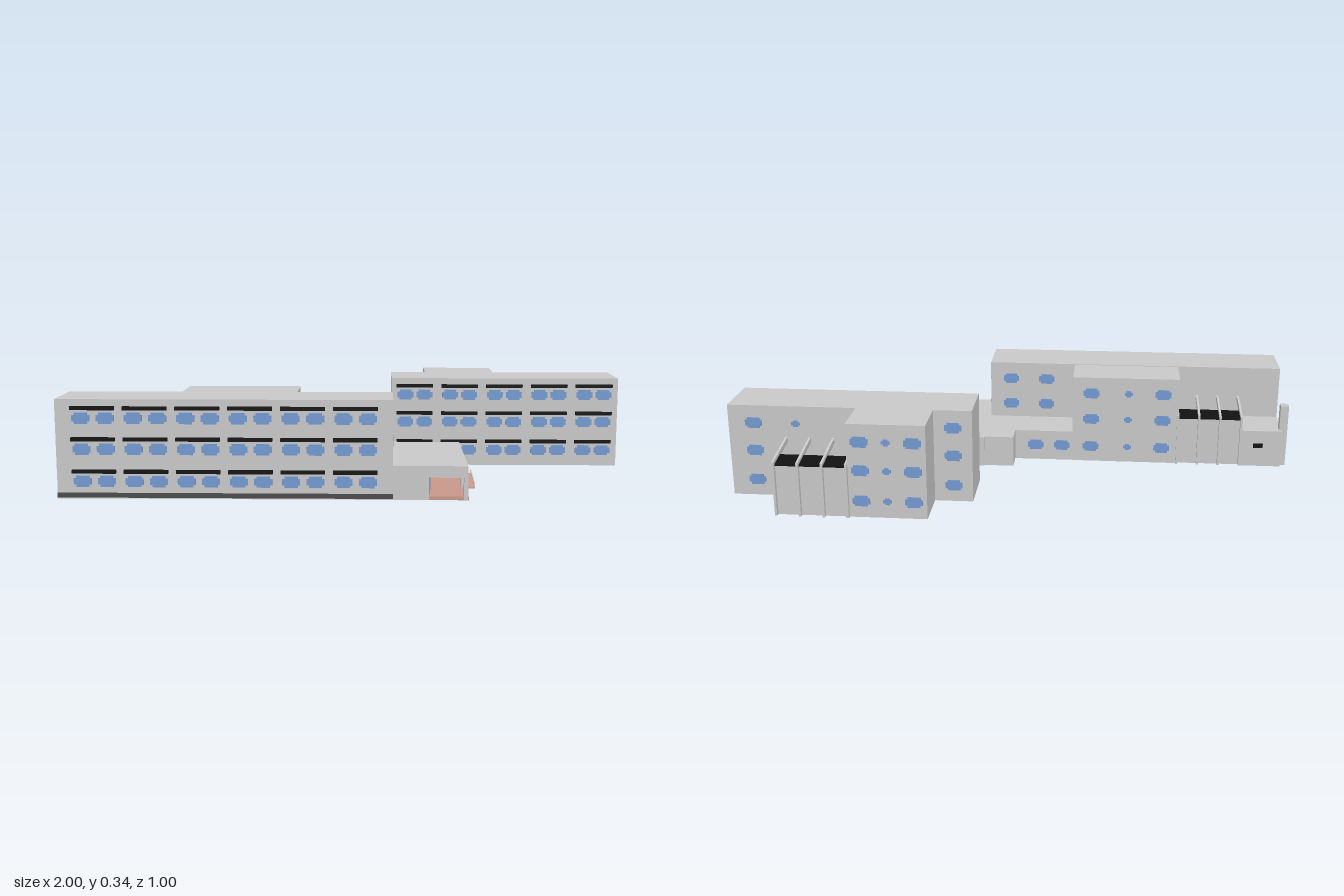
import * as THREE from 'three';

const flat = (name, color) => {
  const m = new THREE.MeshStandardMaterial({ color });
  m.name = name;
  return m;
};
const wall = flat('wall grey', 0xc8c8c8);
const glass = flat('window blue', 0x7399d0);
const black = flat('shade black', 0x111111);
const brick = flat('floor terracotta', 0xc8988a);
const dark = flat('plinth grey', 0x4a4a4a);

const FLOORS = [0.06, 0.17, 0.272];

export function createModel() {
  const model = new THREE.Group();
  model.name = 'schoolBuildings';

  const add = (parent, name, geo, mat) => {
    const mesh = new THREE.Mesh(geo, mat);
    mesh.name = name;
    parent.add(mesh);
    return mesh;
  };
  // box given by its limits on each axis
  const block = (parent, name, x0, x1, y0, y1, z0, z1, mat = wall) => {
    const mesh = add(parent, name, new THREE.BoxGeometry(x1 - x0, y1 - y0, z1 - z0), mat);
    mesh.position.set((x0 + x1) / 2, (y0 + y1) / 2, (z0 + z1) / 2);
    return mesh;
  };
  const outline = (pts) => new THREE.Shape(pts.map(([a, b]) => new THREE.Vector2(a, b)));
  // profile of (distance towards the back, height), extruded along x
  const backProfile = (parent, name, shape, x, width, z, mat = wall) => {
    const geo = new THREE.ExtrudeGeometry(shape, { depth: width, bevelEnabled: false });
    const mesh = add(parent, name, geo, mat);
    mesh.rotation.y = Math.PI / 2;
    mesh.position.set(x, 0, z);
    return mesh;
  };

  // cross-shaped window pane, centred on its own origin and facing +z
  const pane = (w, h, cx, cy) => {
    const a = w / 2, b = h / 2, c = a - cx, d = b - cy;
    const s = outline([[a, -d], [a, d], [c, d], [c, b], [-c, b], [-c, d],
      [-a, d], [-a, -d], [-c, -d], [-c, -b], [c, -b], [c, -d]]);
    return new THREE.ExtrudeGeometry(s, { depth: 0.003, bevelEnabled: false });
  };
  const widePane = pane(0.06, 0.038, 0.008, 0.008);
  const smallPane = pane(0.03, 0.024, 0.007, 0.006);
  const sidePane = pane(0.03, 0.038, 0.008, 0.01);
  const windowAt = (parent, geo, x, y, z, turn = 0) => {
    const mesh = add(parent, 'window', geo, glass);
    mesh.position.set(x, y, z);
    mesh.rotation.y = turn;
  };
  const backColumn = (parent, geo, x, z, floors = FLOORS) =>
    floors.forEach((y) => windowAt(parent, geo, x, y, z, Math.PI));

  // rows of paired windows under awnings
  const frontRows = (parent, x0, step, width, count, z) => {
    [0.093, 0.202, 0.306].forEach((y) => {
      for (let i = 0; i < count; i++) {
        const x = x0 + i * step;
        block(parent, 'awning', x, x + width, y - 0.006, y + 0.006, z, z + 0.012, black);
        for (const e of [0.034, width - 0.032]) windowAt(parent, widePane, x + e, y - 0.034, z);
      }
    });
  };

  // lean-to greenhouse: low base, raised back edge, glazing and sloping fins
  const leanTo = (parent, x0, x1, z) => {
    const g = new THREE.Group();
    g.name = 'leanTo';
    parent.add(g);
    const base = outline([[0, 0], [0.165, 0], [0.165, 0.178], [0.1, 0.188], [0.1, 0.14], [0, 0.14]]);
    backProfile(g, 'leanToBase', base, x0, x1 - x0, z);
    const panel = outline([[0.1, 0.189], [0.17, 0.179], [0.17, 0.185], [0.1, 0.195]]);
    backProfile(g, 'darkGlazing', panel, x0, x1 - x0, z, black);
    for (let i = 0; i < 4; i++) {
      const fin = outline([[0, 0], [0.18, 0], [0.18, 0.195], [0, 0.222]]);
      fin.holes.push(new THREE.Path([[0, 0.14], [0, 0.203], [0.102, 0.187], [0.102, 0.14]]
        .map(([a, b]) => new THREE.Vector2(a + 0.001, b))));
      backProfile(g, 'fin', fin, x0 + (i * (x1 - x0 - 0.008)) / 3, 0.008, z);
    }
  };

  // ---- long building at the front ----
  const long = new THREE.Group();
  long.name = 'longBuilding';
  model.add(long);
  block(long, 'mainBlock', -0.98, 0.14, 0, 0.335, 0.29, 0.49);
  block(long, 'plinth', -0.98, 0.14, 0.004, 0.02, 0.488, 0.494, dark);
  block(long, 'rearWing', -0.59, -0.19, 0, 0.333, 0.118, 0.29);
  block(long, 'lowLink', -0.19, 0.03, 0, 0.115, 0.12, 0.29);
  frontRows(long, -0.928, 0.174, 0.147, 6, 0.49);
  leanTo(long, -0.83, -0.585, 0.29);
  block(long, 'annex', -0.98, -0.83, 0, 0.14, 0.115, 0.29);
  block(long, 'annexVent', -0.91, -0.875, 0.075, 0.09, 0.107, 0.116, black);
  block(long, 'chimney', -1.0, -0.97, 0, 0.235, 0.13, 0.165);
  backColumn(long, widePane, -0.53, 0.118);
  backColumn(long, smallPane, -0.4, 0.118);
  backColumn(long, widePane, -0.26, 0.118);
  for (const x of [0.06, -0.08]) backColumn(long, widePane, x, 0.29, FLOORS.slice(1));
  for (const x of [-0.05, -0.15]) backColumn(long, widePane, x, 0.12, [0.06]);
  for (const y of FLOORS.slice(1)) windowAt(long, sidePane, 0.14, y, 0.324, Math.PI / 2);

  // ---- entrance hall with open porch ----
  const hall = new THREE.Group();
  hall.name = 'entranceHall';
  model.add(hall);
  block(hall, 'hallBody', 0.03, 0.14, 0, 0.115, 0.037, 0.3);
  block(hall, 'hallFront', 0.14, 0.26, 0, 0.115, 0.028, 0.49);
  block(hall, 'porchRoof', 0.26, 0.378, 0.097, 0.115, 0.028, 0.49);
  block(hall, 'porchFloor', 0.26, 0.392, 0, 0.012, 0.028, 0.49, brick);
  block(hall, 'glassWall', 0.26, 0.264, 0.018, 0.078, 0.032, 0.486, glass);
  block(hall, 'backGlass', 0.26, 0.378, 0.012, 0.076, 0.034, 0.038, glass);
  for (const z of [0.028, 0.48]) block(hall, 'porchLintel', 0.26, 0.378, 0.076, 0.097, z, z + 0.01);
  block(hall, 'porchBench', 0.3, 0.335, 0.012, 0.04, 0.045, 0.07);

  // colonnade with three angular arches
  const bays = [[-0.47, -0.343], [-0.327, -0.188], [-0.17, -0.046]];
  const colonnade = [[-0.49, 0], [-0.49, 0.115], [-0.028, 0.115], [-0.028, 0]];
  for (const [a, b] of bays.slice().reverse()) {
    const k = (b - a) * 0.36;
    colonnade.push([b, 0], [b, 0.077], [b - k, 0.095], [a + k, 0.095], [a, 0.077], [a, 0]);
  }
  backProfile(hall, 'colonnade', outline(colonnade), 0.376, 0.014, 0);

  // access ramp and its handrail
  const ramp = outline([[-0.305, 0], [-0.135, 0], [-0.135, 0.02], [-0.18, 0.02], [-0.305, 0.004]]);
  backProfile(hall, 'ramp', ramp, 0.39, 0.038, 0, brick);
  const rail = outline([[-0.305, 0.017], [-0.135, 0.029], [-0.135, 0.032], [-0.305, 0.02]]);
  backProfile(hall, 'handrail', rail, 0.424, 0.004, 0);
  for (const z of [0.302, 0.22, 0.137]) {
    block(hall, 'railPost', 0.424, 0.428, 0, 0.02 + (0.302 - z) * 0.06, z - 0.002, z + 0.002);
  }

  // ---- separate building at the back ----
  const rear = new THREE.Group();
  rear.name = 'rearBuilding';
  model.add(rear);
  block(rear, 'mainBlock', 0.14, 1, 0, 0.335, -0.32, -0.12);
  block(rear, 'rearWing', 0.275, 0.545, 0, 0.335, -0.486, -0.32);
  frontRows(rear, 0.16, 0.17, 0.138, 5, -0.12);
  leanTo(rear, 0.543, 0.8, -0.32);
  backColumn(rear, widePane, 0.91, -0.32);
  backColumn(rear, smallPane, 0.76, -0.32, [FLOORS[2]]);
  backColumn(rear, widePane, 0.5, -0.486);
  backColumn(rear, smallPane, 0.41, -0.486);
  backColumn(rear, widePane, 0.32, -0.486);
  backColumn(rear, widePane, 0.207, -0.32);
  for (const y of FLOORS) windowAt(rear, sidePane, 1, y, -0.29, Math.PI / 2);

  return model;
}
